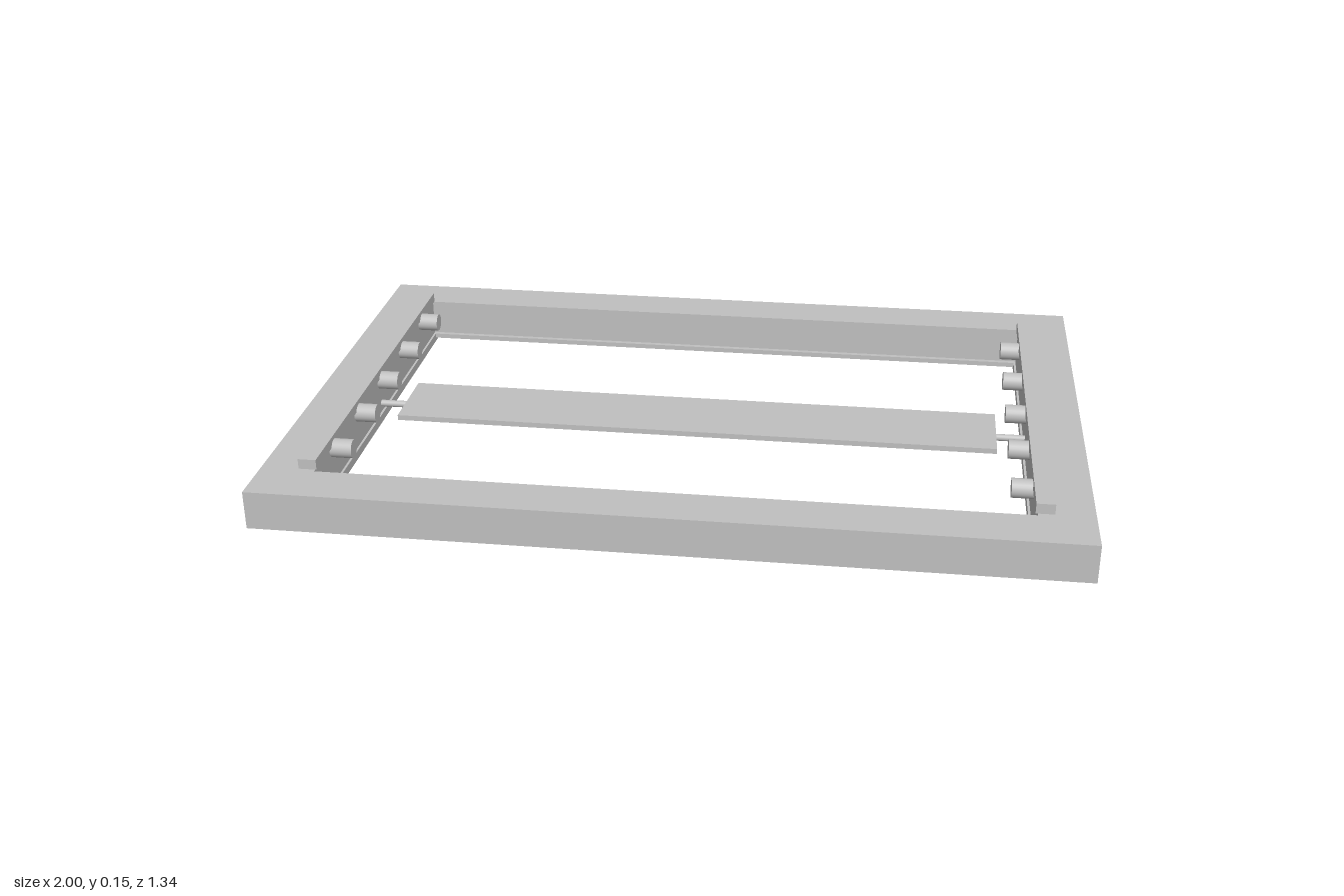
import * as THREE from 'three';

export function createModel() {
  const model = new THREE.Group();
  const grey = new THREE.MeshStandardMaterial({ color: 0xc0c0c0 });
  grey.name = 'light grey';

  function add(name, geometry, x, y, z) {
    const mesh = new THREE.Mesh(geometry, grey);
    mesh.name = name;
    mesh.position.set(x, y, z);
    model.add(mesh);
    return mesh;
  }
  // Box given by its centre in x and z, and its lower and upper y
  function bar(name, width, depth, x, z, y0, y1) {
    return add(name, new THREE.BoxGeometry(width, y1 - y0, depth), x, (y0 + y1) / 2, z);
  }
  // Cylinder lying along x
  function rod(name, radius, length, x, y, z) {
    const geometry = new THREE.CylinderGeometry(radius, radius, length, 24);
    geometry.rotateZ(Math.PI / 2);
    return add(name, geometry, x, y, z);
  }
  function rectangle(Type, hx, hz) {
    const path = new Type();
    path.moveTo(-hx, -hz);
    path.lineTo(hx, -hz);
    path.lineTo(hx, hz);
    path.lineTo(-hx, hz);
    path.closePath();
    return path;
  }

  // Main rectangular frame with its opening
  const outline = rectangle(THREE.Shape, 1, 0.672);
  outline.holes.push(rectangle(THREE.Path, 0.865, 0.548));
  const frame = new THREE.ExtrudeGeometry(outline, { depth: 0.098, bevelEnabled: false });
  frame.rotateX(-Math.PI / 2);
  add('frame', frame, 0, 0.025, 0);

  for (const side of [-1, 1]) {
    const end = side > 0 ? 'left' : 'right';
    // Raised rail over each short side, and trim under the opening
    bar(end + 'TopRail', 0.045, 1.09, side * 0.882, 0, 0.126, 0.152);
    bar(end + 'LowerTrim', 0.032, 1.11, side * 0.875, 0, 0.003, 0.025);
    bar(side > 0 ? 'frontLowerTrim' : 'backLowerTrim', 1.78, 0.03, 0, side * 0.55, 0.012, 0.025);
    // Row of round pegs on the inner wall
    for (let i = -2; i <= 2; i++) {
      rod(end + 'Peg', 0.024, 0.06, side * 0.84, 0.117, i * 0.204);
    }
  }

  // Central slat carried by a thin pivot rod
  bar('slat', 1.58, 0.206, 0, 0, 0.05, 0.064);
  rod('pivotRod', 0.009, 1.73, 0, 0.047, 0);

  // Stand the model on y = 0
  const box = new THREE.Box3().setFromObject(model);
  for (const part of model.children) part.position.y -= box.min.y;
  return model;
}
